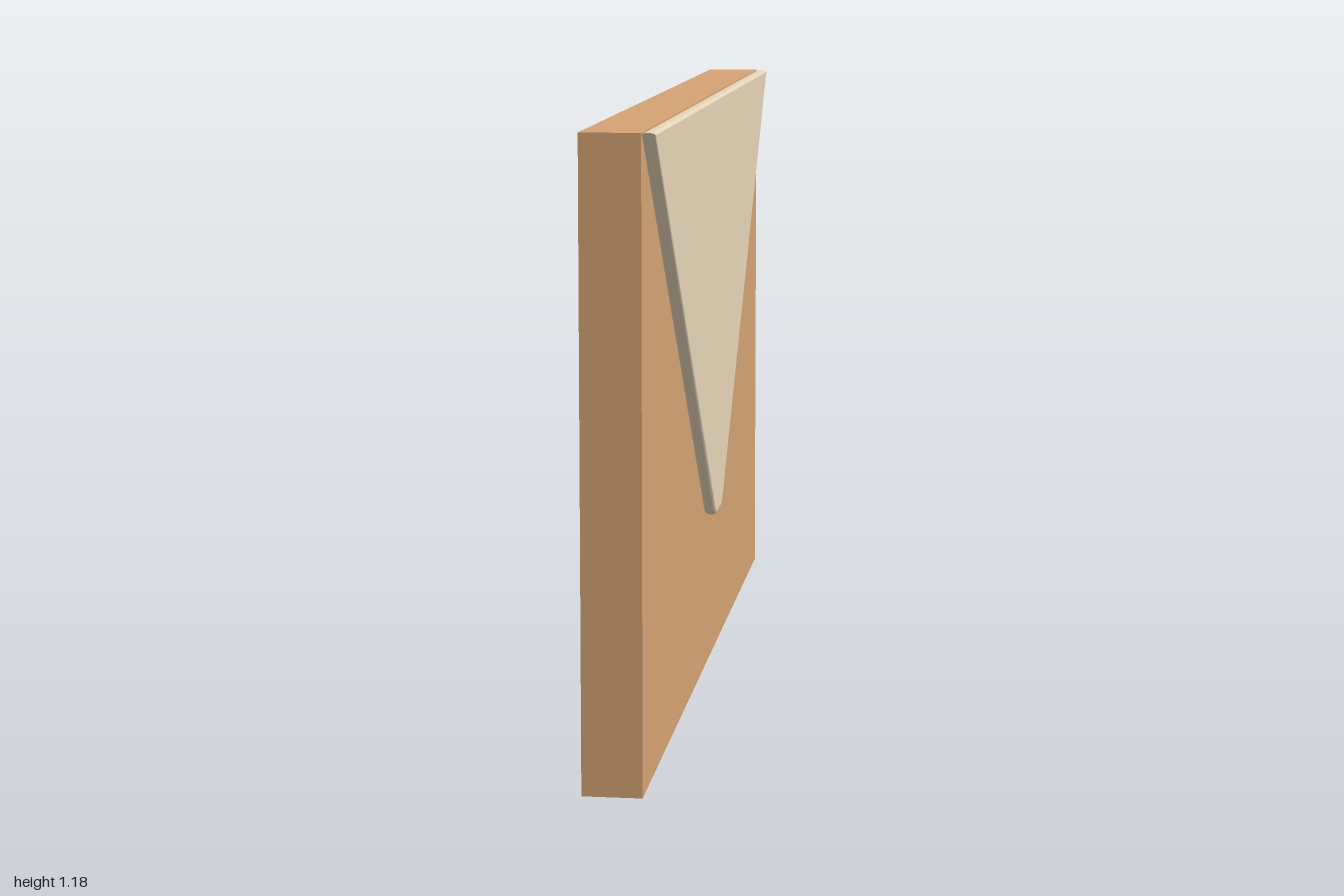
import * as THREE from 'three';

const part = (name, geometry, color) => {
  const mesh = new THREE.Mesh(geometry, new THREE.MeshStandardMaterial({ color }));
  mesh.name = name;
  return mesh;
};

export function createModel() {
  const group = new THREE.Group();
  group.name = 'envelope';
  const H = 1.18;

  // Body: a flat upright slab
  const body = part('body', new THREE.BoxGeometry(0.11, H, 2), 0xd4a373);
  body.position.set(-0.012, H / 2, 0);
  group.add(body);

  // Plain panel covering the back of the slab
  const panel = part('backPanel', new THREE.PlaneGeometry(1.97, H), 0xcccccc);
  panel.rotation.y = -Math.PI / 2;
  panel.position.set(-0.0675, H / 2, -0.015);
  group.add(panel);

  // Flap: tapered plate with a softened tip and rounded edges
  const shape = new THREE.Shape();
  shape.moveTo(-1, H);
  shape.lineTo(-0.07, 0.335);
  shape.quadraticCurveTo(-0.053, 0.32, -0.035, 0.32);
  shape.lineTo(0.035, 0.32);
  shape.quadraticCurveTo(0.053, 0.32, 0.07, 0.335);
  shape.lineTo(1, H);
  shape.closePath();
  const bevel = 0.009;
  const flap = part('flap', new THREE.ExtrudeGeometry(shape, {
    depth: 0.025 - 2 * bevel, curveSegments: 4,
    bevelThickness: bevel, bevelSize: bevel, bevelOffset: -bevel, bevelSegments: 3,
  }), 0xe6d5b8);
  flap.rotation.y = Math.PI / 2;
  flap.position.x = 0.0425 + bevel;
  group.add(flap);

  return group;
}
